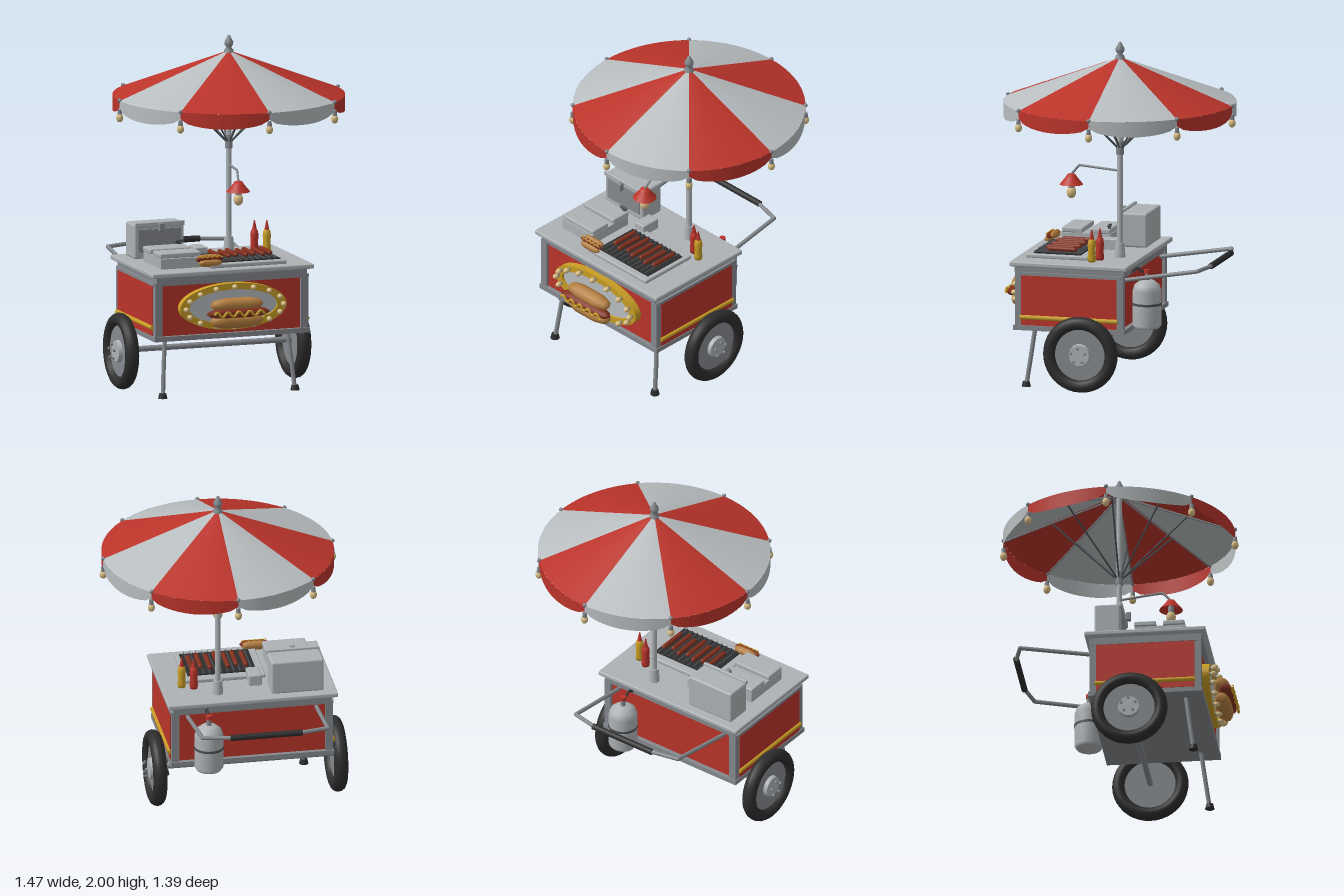
import * as THREE from 'three';
import { RoundedBoxGeometry } from 'three/addons/geometries/RoundedBoxGeometry.js';

const mat = (name, color, side = THREE.FrontSide) =>
  Object.assign(new THREE.MeshStandardMaterial({ color, side }), { name });
const M = {
  steel: mat('steel', 0xaeb2b5),
  frame: mat('frame grey', 0x85898d),
  red: mat('red paint', 0xba342a, THREE.DoubleSide),
  cloth: mat('pale cloth', 0xb8bdbf, THREE.DoubleSide),
  rubber: mat('rubber', 0x2d2d2d),
  gold: mat('gold', 0xc89d24),
  bulb: mat('bulb glass', 0xd8bd84),
  bun: mat('bun', 0xb57f40),
  sausage: mat('sausage', 0x82301e),
  dark: mat('dark metal', 0x4c4f52),
};
const V = (x, y, z) => new THREE.Vector3(x, y, z);
const box = (w, h, d) => new THREE.BoxGeometry(w, h, d);
const rbox = (w, h, d, r = 0.01) => new RoundedBoxGeometry(w, h, d, 2, r);
const cyl = (rt, rb, h, n = 20) => new THREE.CylinderGeometry(rt, rb, h, n);
const ball = (r, sx = 1, sy = 1, sz = 1, n = 14) => new THREE.SphereGeometry(r, n, 10).scale(sx, sy, sz);
const lathe = (pts, n = 20) => new THREE.LatheGeometry(pts.map(p => new THREE.Vector2(...p)), n);
function add(parent, name, geo, m, x = 0, y = 0, z = 0) {
  const mesh = new THREE.Mesh(geo, m);
  mesh.name = name;
  mesh.position.set(x, y, z);
  parent.add(mesh);
  return mesh;
}
function group(parent, name, x = 0, y = 0, z = 0) {
  const g = new THREE.Group();
  g.name = name;
  g.position.set(x, y, z);
  parent.add(g);
  return g;
}
// straight-sided tube through points
function pipe(parent, name, pts, r, m) {
  const path = new THREE.CurvePath();
  for (let i = 1; i < pts.length; i++) path.add(new THREE.LineCurve3(pts[i - 1], pts[i]));
  const g = group(parent, name);
  path.curves.forEach(c => add(g, name, new THREE.TubeGeometry(c, 1, r, 10), m));
  pts.forEach(p => add(g, name + 'Joint', ball(r, 1, 1, 1, 10), m, p.x, p.y, p.z));
  return g;
}
function lightBulb(parent, x, y, z, s = 1) {
  const g = group(parent, 'lightBulb', x, y, z);
  add(g, 'socket', cyl(0.012 * s, 0.014 * s, 0.03 * s, 10), M.frame, 0, 0.035 * s, 0);
  add(g, 'glass', ball(0.021 * s, 1, 1.25, 1, 12), M.bulb);
  return g;
}
// tapered low-poly bun lying along x
const bunGeo = (l, h, d) => new THREE.CapsuleGeometry(0.5, 0.8, 2, 8).rotateZ(Math.PI / 2).scale(l / 1.8, h, d);
function hotDog(parent, name, x, y, z, s) {
  const g = group(parent, name, x, y, z);
  g.scale.setScalar(s);
  add(g, 'bottomBun', bunGeo(0.33, 0.085, 0.1), M.bun, 0, -0.05, 0);
  add(g, 'topBun', bunGeo(0.33, 0.08, 0.1), M.bun, 0, 0.045, 0);
  add(g, 'sausage', bunGeo(0.39, 0.06, 0.085), M.sausage, 0, 0, 0.025);
  const wave = Array.from({ length: 25 }, (_, i) => V(-0.16 + i * 0.32 / 24, 0.014 * Math.sin(i * Math.PI / 2.5), 0.067));
  add(g, 'mustard', new THREE.TubeGeometry(new THREE.CatmullRomCurve3(wave), 60, 0.008, 6), M.gold);
  return g;
}

function buildUmbrella(root) {
  const g = group(root, 'umbrella', 0.045, 0, -0.015), R = 0.668, rim = 1.655, top = 1.91;
  const ribY = r => top - (top - rim) * r / R;
  for (let k = 0; k < 8; k++) {
    const t = k * Math.PI / 4, m = k % 2 ? M.red : M.cloth, s = Math.sin(t), c = Math.cos(t);
    add(g, 'canopyPanel', new THREE.ConeGeometry(R, top - rim, 8, 1, true, t, Math.PI / 4), m, 0, (top + rim) / 2, 0);
    // scalloped valance
    const val = new THREE.CylinderGeometry(R, R, 1, 12, 1, true, t, Math.PI / 4);
    const p = val.attributes.position, uv = val.attributes.uv;
    for (let i = 0; i < p.count; i++)
      p.setY(i, p.getY(i) > 0 ? rim : rim - 0.04 - 0.05 * Math.sqrt(Math.max(0, Math.sin(Math.PI * uv.getX(i)))));
    val.computeVertexNormals();
    add(g, 'valance', val, m);
    pipe(g, 'rib', [V(0, top - 0.012, 0), V(R * s, rim - 0.006, R * c)], 0.005, M.frame);
    pipe(g, 'strut', [V(0.015 * s, 1.38, 0.015 * c), V(0.39 * s, ribY(0.39) - 0.01, 0.39 * c)], 0.005, M.dark);
    add(g, 'ribTip', ball(0.012), M.frame, R * s, rim + 0.003, R * c);
    lightBulb(g, R * s, 1.558, R * c);
  }
  add(g, 'pole', cyl(0.017, 0.017, 1.18), M.steel, 0, 1.32, 0);
  add(g, 'poleBase', cyl(0.025, 0.032, 0.09), M.steel, 0, 0.78, 0);
  add(g, 'strutCollar', cyl(0.022, 0.022, 0.08), M.frame, 0, 1.38, 0);
  add(g, 'finial', lathe([[0.03, 1.89], [0.026, 1.915], [0.014, 1.925], [0.025, 1.945], [0.026, 1.96], [0.014, 1.98], [0.009, 1.995], [0, 2]]), M.frame);
  // hanging lamp
  pipe(g, 'lampArm', [V(0, 1.245, 0), V(-0.045, 1.257, 0.255), V(-0.055, 1.2, 0.305)], 0.007, M.frame);
  add(g, 'lampShade', lathe([[0, 1.205], [0.022, 1.2], [0.035, 1.18], [0.068, 1.14]], 24), M.red, -0.055, 0, 0.305);
  lightBulb(g, -0.055, 1.095, 0.305, 1.35);
}

function buildCart(root) {
  const g = group(root, 'cart', -0.14, 0, 0.21);
  add(g, 'counterTop', rbox(0.99, 0.028, 0.7, 0.008), M.steel, 0, 0.727, 0);
  add(g, 'counterTrim', box(0.92, 0.035, 0.65), M.frame, 0, 0.693, 0);
  add(g, 'body', box(0.9, 0.31, 0.61), M.red, 0, 0.52, 0);
  add(g, 'baseFrame', box(0.95, 0.028, 0.66), M.frame, 0, 0.354, 0);
  for (const sx of [-1, 1]) {
    add(g, 'sidePanel', box(0.02, 0.29, 0.57), M.red, sx * 0.463, 0.515, 0);
    const stripe = add(g, 'sideStripe', cyl(0.013, 0.013, 0.58, 10), M.gold, sx * 0.474, 0.417, 0);
    stripe.rotation.x = Math.PI / 2;
    add(g, 'sideRail', box(0.03, 0.018, 0.62), M.frame, sx * 0.46, 0.67, 0);
    for (const sz of [-1, 1]) add(g, 'cornerPost', box(0.045, 0.32, 0.04), M.frame, sx * 0.447, 0.52, sz * 0.302);
    // wheels
    const w = group(g, 'wheel', sx * 0.527, 0.225, -0.085);
    w.rotation.y = sx * Math.PI / 2;
    add(w, 'tire', new THREE.TorusGeometry(0.183, 0.038, 14, 40).scale(1, 1, 1.08), M.rubber);
    add(w, 'disc', cyl(0.155, 0.155, 0.025, 36).rotateX(Math.PI / 2), M.frame);
    add(w, 'hub', cyl(0.06, 0.067, 0.03, 28).rotateX(Math.PI / 2), M.steel, 0, 0, 0.02);
    for (let i = 0; i < 5; i++) {
      const a = i * Math.PI * 0.4 + Math.PI / 2;
      add(w, 'bolt', cyl(0.008, 0.008, 0.012, 8).rotateX(Math.PI / 2), M.frame, 0.043 * Math.cos(a), 0.043 * Math.sin(a), 0.058);
    }
    // front legs
    pipe(g, 'frontLeg', [V(sx * 0.375, 0.35, 0.225), V(sx * 0.392, 0.16, 0.25), V(sx * 0.403, 0.02, 0.27)], 0.013, M.frame);
    add(g, 'foot', cyl(0.02, 0.027, 0.03, 14), M.rubber, sx * 0.405, 0.015, 0.272);
  }
  for (const sz of [-1, 1]) add(g, 'crossRail', box(0.86, 0.018, 0.02), M.frame, 0, 0.67, sz * 0.305);
  const axle = add(g, 'axle', cyl(0.017, 0.017, 1.06), M.frame, 0, 0.23, -0.085);
  axle.rotation.z = Math.PI / 2;
  // push handle
  pipe(g, 'handle', [V(-0.375, 0.645, -0.31), V(-0.365, 0.715, -0.735), V(-0.2, 0.72, -0.775),
    V(0.2, 0.72, -0.775), V(0.365, 0.715, -0.735), V(0.375, 0.645, -0.31)], 0.012, M.frame);
  add(g, 'handleGrip', cyl(0.018, 0.018, 0.42, 14).rotateZ(Math.PI / 2), M.rubber, 0, 0.72, -0.775);
  // gas tank
  const t = group(g, 'gasTank', 0.27, 0, -0.41);
  add(t, 'tank', lathe([[0, 0.35], [0.07, 0.352], [0.083, 0.37], [0.083, 0.57], [0.072, 0.605], [0.04, 0.63], [0, 0.635]], 24), M.steel);
  add(t, 'tankBand', cyl(0.086, 0.086, 0.014, 24), M.dark, 0, 0.495, 0);
  add(t, 'tankValve', cyl(0.012, 0.015, 0.05, 12), M.frame, 0, 0.65, 0);
  add(t, 'valveKnob', cyl(0.018, 0.018, 0.022, 12), M.red, 0, 0.682, 0);
  pipe(t, 'gasHose', [V(0, 0.665, 0), V(0, 0.7, 0.06), V(0, 0.67, 0.1)], 0.007, M.rubber);
}

function buildSign(root) {
  const g = group(root, 'frontSign', -0.14, 0.525, 0.53);
  const ring = new THREE.Shape().absellipse(0, 0, 0.325, 0.135, 0, Math.PI * 2);
  ring.holes.push(new THREE.Path().absellipse(0, 0, 0.27, 0.098, 0, Math.PI * 2, true));
  add(g, 'signRing', new THREE.ExtrudeGeometry(ring, { depth: 0.045, bevelEnabled: false, curveSegments: 40 }), M.gold, 0, 0, -0.015);
  add(g, 'signFace', cyl(1, 1, 1, 40).rotateX(Math.PI / 2).scale(0.275, 0.102, 0.03), M.cloth);
  for (let i = 0; i < 16; i++) {
    const a = i * Math.PI / 8;
    lightBulb(g, 0.298 * Math.cos(a), 0.117 * Math.sin(a), 0.053, 0.75).rotation.x = -Math.PI / 2;
  }
  hotDog(g, 'signHotDog', 0, -0.025, 0.08, 1);
}

function buildCounterGoods(root) {
  const g = group(root, 'counterGoods');
  // steamer cabinet
  add(g, 'cabinet', rbox(0.305, 0.2, 0.15, 0.012), M.steel, -0.408, 0.84, -0.015);
  add(g, 'cabinetLip', rbox(0.305, 0.03, 0.02, 0.006), M.steel, -0.408, 0.938, 0.062);
  add(g, 'cabinetDoor', box(0.26, 0.13, 0.008), M.frame, -0.408, 0.845, 0.062);
  add(g, 'cabinetHandle', rbox(0.03, 0.05, 0.03, 0.006), M.frame, -0.408, 0.925, 0.09);
  // food bin with two lids
  add(g, 'foodBin', box(0.24, 0.06, 0.29), M.steel, -0.415, 0.77, 0.285);
  for (const z of [0.2, 0.365]) add(g, 'binLid', rbox(0.25, 0.03, 0.125, 0.008), M.steel, -0.415, 0.817, z);
  add(g, 'sideBin', rbox(0.075, 0.07, 0.12, 0.008), M.steel, -0.185, 0.77, 0.1);
  pipe(g, 'tap', [V(-0.3, 0.85, 0.15), V(-0.34, 0.85, 0.15), V(-0.3, 0.82, 0.15)], 0.008, M.dark);
  // grill with sausages
  add(g, 'grillTray', rbox(0.47, 0.025, 0.37, 0.008), M.steel, -0.025, 0.752, 0.315);
  add(g, 'grillPlate', box(0.4, 0.014, 0.28), M.rubber, -0.015, 0.763, 0.32);
  for (let i = 0; i < 11; i++) add(g, 'grillBar', box(0.006, 0.008, 0.28), M.dark, -0.19 + i * 0.035, 0.774, 0.32);
  for (let i = 0; i < 7; i++)
    add(g, 'grillSausage', new THREE.CapsuleGeometry(0.014, 0.15, 4, 10).rotateX(Math.PI / 2), M.sausage, -0.16 + i * 0.052, 0.79, 0.3 + 0.02 * (i % 2));
  hotDog(g, 'servedHotDog', -0.255, 0.785, 0.47, 0.45).rotation.x = -0.9;
  // sauce bottles
  for (const [name, m, x, z] of [['redSauceBottle', M.red, 0.17, 0.07], ['yellowSauceBottle', M.gold, 0.235, 0.1]]) {
    const b = group(g, name, x, 0.74, z);
    add(b, 'bottle', lathe([[0, 0], [0.022, 0.002], [0.024, 0.02], [0.021, 0.06], [0.024, 0.1], [0.02, 0.125], [0.012, 0.135], [0, 0.136]], 16), m);
    add(b, 'nozzle', cyl(0.003, 0.014, 0.055, 12), M.red, 0, 0.16, 0);
  }
}

export function createModel() {
  const root = new THREE.Group();
  root.name = 'hotDogCart';
  buildUmbrella(root);
  buildCart(root);
  buildSign(root);
  buildCounterGoods(root);
  return root;
}
